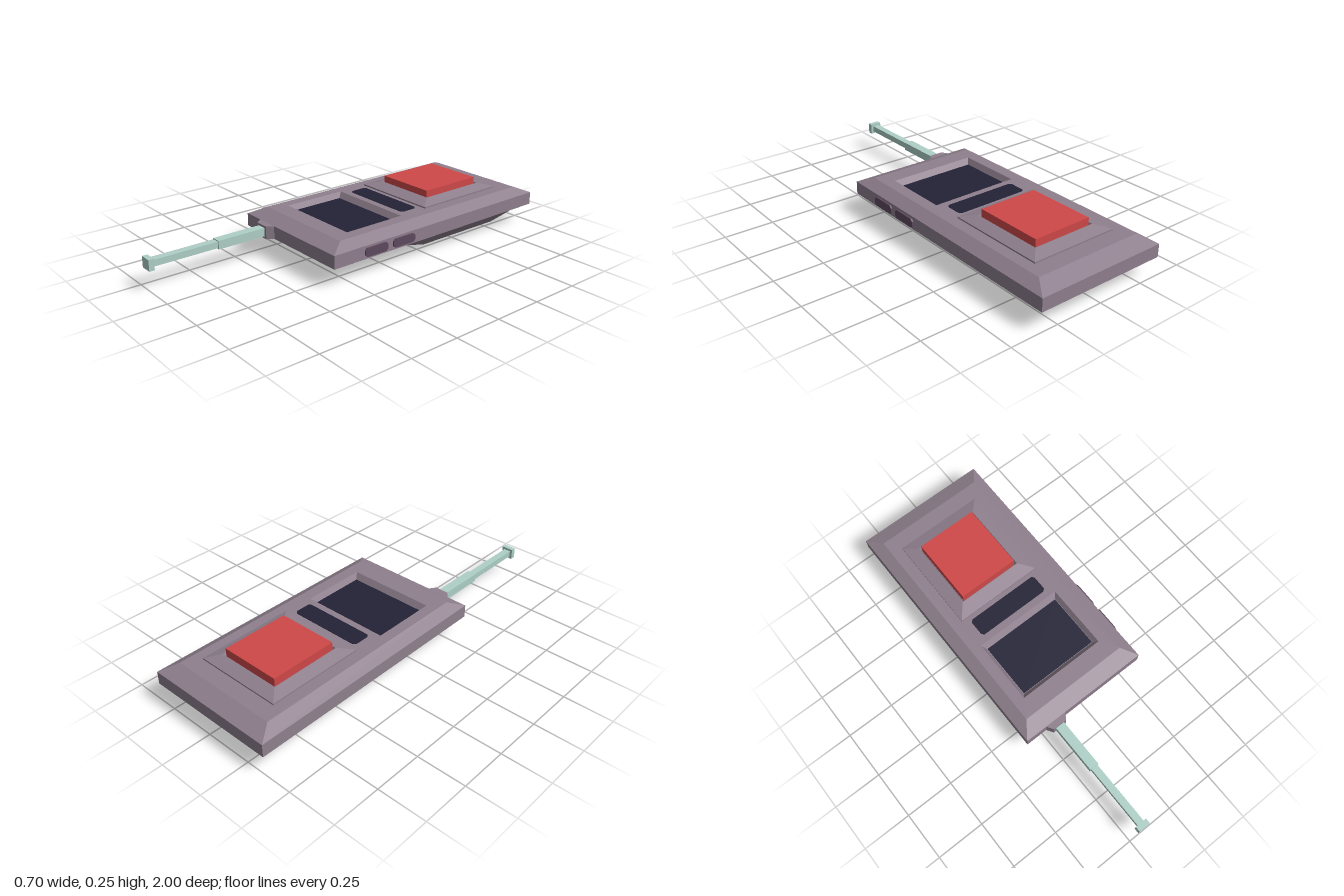
import * as THREE from 'three';

const material = (name, color) => {
  const m = new THREE.MeshStandardMaterial({ color });
  m.name = name;
  return m;
};

// Joins rectangles [x0, x1, z0, z1, y], listed from the underside up and round, with flat faces.
function rectLoft(rings) {
  const pts = rings.map(([x0, x1, z0, z1, y]) => [[x0, y, z1], [x1, y, z1], [x1, y, z0], [x0, y, z0]]);
  const pos = [];
  const quad = (a, b, c, d) => [a, b, c, a, c, d].forEach((p) => pos.push(...p));
  const first = pts[0], last = pts[pts.length - 1];
  quad(first[3], first[2], first[1], first[0]);
  for (let r = 0; r < pts.length - 1; r++) {
    for (let i = 0; i < 4; i++) {
      const j = (i + 1) % 4;
      quad(pts[r][i], pts[r][j], pts[r + 1][j], pts[r + 1][i]);
    }
  }
  quad(...last);
  const g = new THREE.BufferGeometry();
  g.setAttribute('position', new THREE.Float32BufferAttribute(pos, 3));
  g.computeVertexNormals();
  return g;
}

// Rectangle with cut corners, centred on the origin.
function cutRect(w, h, c) {
  const x = w / 2, y = h / 2;
  return new THREE.Shape([
    [-x + c, -y], [x - c, -y], [x, -y + c], [x, y - c],
    [x - c, y], [-x + c, y], [-x, y - c], [-x, -y + c],
  ].map(([a, b]) => new THREE.Vector2(a, b)));
}

const extrude = (shape, depth) => new THREE.ExtrudeGeometry(shape, { depth, bevelEnabled: false });

export function createModel() {
  const model = new THREE.Group();
  model.name = 'handheldDevice';
  const casing = material('casing mauve', 0x8f808e);
  const red = material('button red', 0xd04848);
  const dark = material('screen navy', 0x222236);
  const mint = material('antenna mint', 0xaed0c7);
  const plum = material('side key plum', 0x5e4a5e);

  const add = (name, geometry, mat) => {
    const mesh = new THREE.Mesh(geometry, mat);
    mesh.name = name;
    model.add(mesh);
    return mesh;
  };
  const box = (name, x0, x1, y0, y1, z0, z1, mat) => {
    const g = new THREE.BoxGeometry(x1 - x0, y1 - y0, z1 - z0);
    g.translate((x0 + x1) / 2, (y0 + y1) / 2, (z0 + z1) / 2);
    return add(name, g, mat);
  };

  // Bevelled casing, ending in the sunken screen well
  add('casing', rectLoft([
    [-0.295, 0.285, -0.915, 0.27, 0.061],
    [-0.353, 0.343, -1, 0.35, 0.095],
    [-0.353, 0.343, -1, 0.35, 0.161],
    [-0.295, 0.285, -0.915, 0.27, 0.194],
    [-0.24, 0.225, -0.16, 0.18, 0.194],
    [-0.223, 0.208, -0.138, 0.158, 0.165],
  ]), casing);

  // Battery hump underneath
  add('rearHump', rectLoft([
    [-0.237, 0.227, -0.83, -0.32, 0],
    [-0.295, 0.285, -0.915, -0.15, 0.061],
  ]), casing);

  // Raised button surround with a narrow gap around the button
  add('buttonSurround', rectLoft([
    [-0.237, 0.227, -0.83, -0.32, 0.19],
    [-0.237, 0.227, -0.83, -0.32, 0.201],
    [-0.178, 0.168, -0.768, -0.39, 0.219],
    [-0.175, 0.165, -0.764, -0.393, 0.219],
    [-0.165, 0.155, -0.755, -0.401, 0.196],
  ]), casing);
  box('button', -0.164, 0.154, 0.196, 0.25, -0.754, -0.402, red);

  // Screens
  box('mainScreen', -0.22, 0.205, 0.163, 0.168, -0.135, 0.155, dark);
  const strip = extrude(cutRect(0.394, 0.1, 0.012), 0.004);
  strip.rotateX(-Math.PI / 2);
  strip.translate(-0.005, 0.192, -0.246);
  add('statusStrip', strip, dark);

  // Side keys on the model's left
  for (const [name, z] of [['frontSideKey', 0.103], ['rearSideKey', -0.07]]) {
    const key = extrude(cutRect(0.138, 0.044, 0.012), 0.012);
    key.rotateY(Math.PI / 2);
    key.translate(0.34, 0.128, z);
    add(name, key, plum);
  }

  // Antenna socket tapering away from the casing
  const socket = extrude(new THREE.Shape([
    [-0.237, -0.345], [-0.237, -0.352], [-0.217, -0.383],
    [-0.143, -0.383], [-0.122, -0.352], [-0.122, -0.345],
  ].map(([x, y]) => new THREE.Vector2(x, y))), 0.066);
  socket.rotateX(-Math.PI / 2);
  socket.translate(0, 0.095, 0);
  add('antennaSocket', socket, casing);

  // Telescopic antenna: wide section, narrow section, tip
  for (const [name, half, z0, z1] of [
    ['antennaLower', 0.024, 0.37, 0.64],
    ['antennaUpper', 0.018, 0.63, 0.975],
    ['antennaTip', 0.031, 0.973, 1],
  ]) {
    box(name, -0.18 - half, -0.18 + half, 0.128 - half * 0.9, 0.128 + half * 0.9, z0, z1, mint);
  }

  return model;
}
